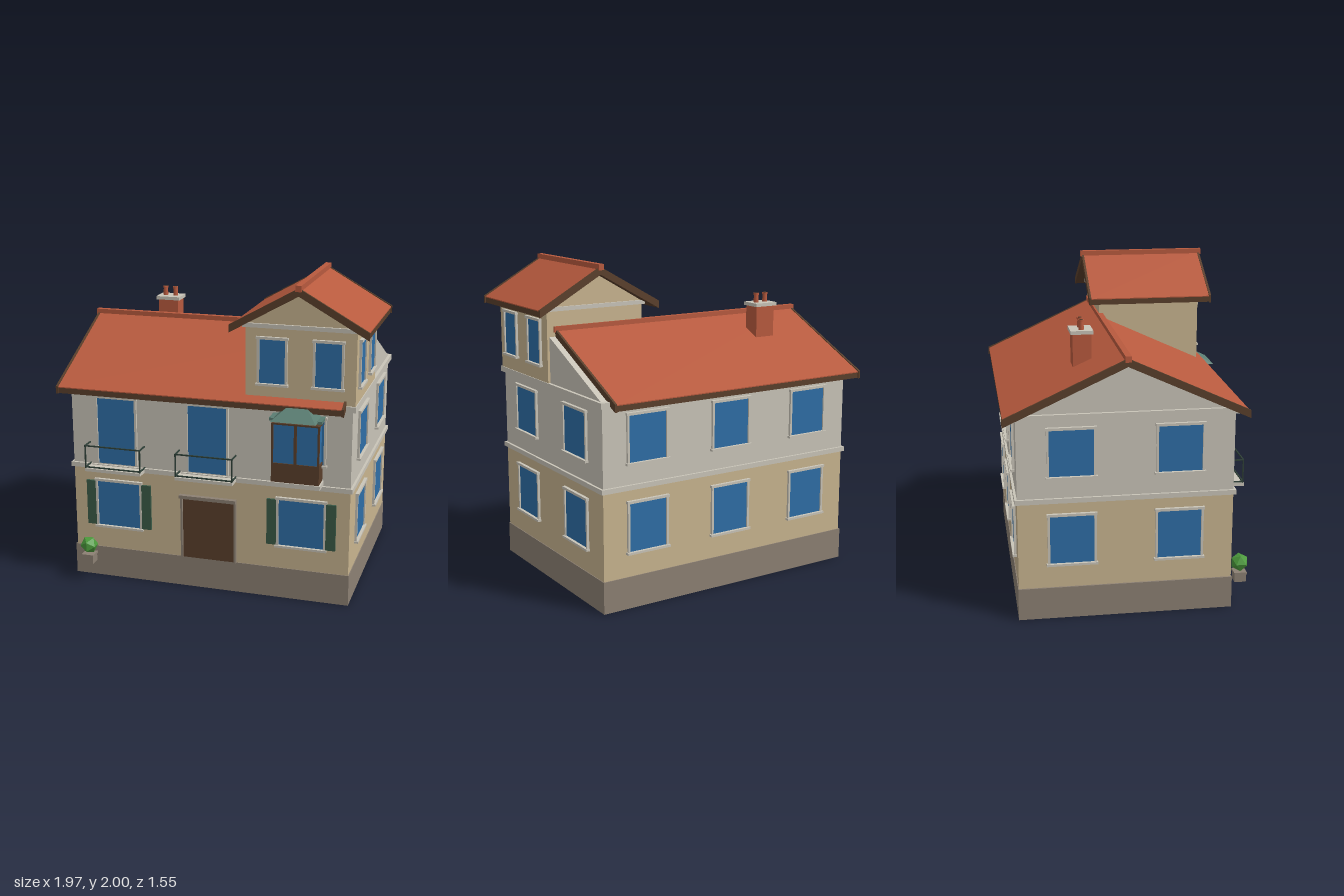
import * as THREE from 'three';

const mat = (name, color, side = THREE.FrontSide) => {
  const m = new THREE.MeshStandardMaterial({ color, side });
  m.name = name;
  return m;
};

export function createModel() {
  const house = new THREE.Group();
  house.name = 'house';

  const tan = mat('tan wall', 0xc8b48f);
  const plaster = mat('pale plaster', 0xc9c4b8);
  const stone = mat('grey stone', 0x8c8073);
  const tile = mat('red tile', 0xb85a3e);
  const wood = mat('brown wood', 0x5a3f2b);
  const glass = mat('blue glass', 0x2e6ea6);
  const green = mat('dark green paint', 0x3a5a47);
  const iron = mat('dark iron', 0x2f4038);
  const copper = mat('green copper', 0x5a7d72);
  const leaf = mat('leaf green', 0x4c9a3c);
  leaf.flatShading = true;

  const add = (name, geo, m, parent = house) => {
    const mesh = new THREE.Mesh(geo, m);
    mesh.name = name;
    parent.add(mesh);
    return mesh;
  };
  // box given by its lower and upper limits
  const box = (name, m, x0, x1, y0, y1, z0, z1, parent = house) => {
    const mesh = add(name, new THREE.BoxGeometry(x1 - x0, y1 - y0, z1 - z0), m, parent);
    mesh.position.set((x0 + x1) / 2, (y0 + y1) / 2, (z0 + z1) / 2);
    return mesh;
  };
  const group = (name, parent = house) => {
    const g = new THREE.Group();
    g.name = name;
    parent.add(g);
    return g;
  };
  // prism along z from a closed outline
  const prism = (points, z0, z1) => {
    const shape = new THREE.Shape(points.map(([x, y]) => new THREE.Vector2(x, y)));
    return new THREE.ExtrudeGeometry(shape, { depth: z1 - z0, bevelEnabled: false }).translate(0, 0, z0);
  };
  // bent strip following both slopes of a roof
  const chevron = (half, eave, apex, up, down, z0, z1) => prism([
    [-half, eave - down], [0, apex - down], [half, eave - down],
    [half, eave + up], [0, apex + up], [-half, eave + up]], z0, z1);

  // walls and horizontal bands
  box('stone base', stone, -0.92, 0.89, 0, 0.2, -0.705, 0.605);
  box('ground floor', tan, -0.91, 0.885, 0.2, 0.74, -0.7, 0.6);
  box('floor band', plaster, -0.925, 0.9, 0.74, 0.77, -0.715, 0.615);
  box('upper floor', plaster, -0.91, 0.885, 0.77, 1.25, -0.7, 0.6);
  box('main cornice', plaster, -0.93, 0.905, 1.25, 1.285, -0.725, 0.62);

  // roof in its own frame: the ridge runs along local z
  const roof = (name, half, eave, apex, z0, z1) => {
    const g = group(name);
    add('roof boards', chevron(half - 0.002, eave, apex, 0, 0.035, z0 + 0.005, z1 - 0.005), wood, g);
    add('roof tiles', chevron(half, eave, apex, 0.006, 0, z0 + 0.014, z1 - 0.014), tile, g);
    for (const z of [z0, z1 - 0.014])
      add('bargeboard', chevron(half + 0.005, eave, apex, 0.01, 0.038, z, z + 0.014), wood, g);
    box('ridge cap', tile, -0.018, 0.018, apex - 0.01, apex + 0.027, z0 - 0.01, z1 + 0.01, g);
    return g;
  };

  // main roof with gable walls, ridge along x
  const mainRoof = roof('main roof', 0.722, 1.272, 1.605, -0.982, 0.845);
  add('main gable', prism([[-0.645, 1.28], [0.645, 1.28], [0, 1.572]], -0.91, 0.885), plaster, mainRoof);
  mainRoof.rotation.y = Math.PI / 2;
  mainRoof.position.z = -0.053;

  // tower with its own gabled roof
  box('tower wall', tan, 0.23, 0.9, 1.285, 1.725, -0.06, 0.607);
  box('tower cornice', plaster, 0.213, 0.917, 1.725, 1.75, -0.075, 0.622);
  const towerRoof = roof('tower roof', 0.412, 1.738, 1.973, -0.135, 0.682);
  add('tower gable', prism([[-0.335, 1.745], [0.335, 1.745], [0, 1.94]], -0.06, 0.607), tan, towerRoof);
  towerRoof.position.x = 0.565;

  // window: pane, surround and optional sill, facing local +z
  const windowAt = (x, y, z, turn, w, h, sill = true) => {
    const g = group('window');
    const a = w / 2, b = h / 2, t = 0.014;
    box('pane', glass, -a, a, -b, b, 0, 0.006, g);
    for (const s of [-1, 1]) {
      const c = s * (a + t / 2);
      box('window jamb', plaster, c - t / 2, c + t / 2, -b, b, 0, 0.015, g);
    }
    box('window head', plaster, -a - t - 0.005, a + t + 0.005, b, b + 0.016, 0, 0.02, g);
    if (sill) box('window sill', plaster, -a - t - 0.008, a + t + 0.008, -b - 0.014, -b, 0, 0.025, g);
    g.position.set(x, y, z);
    g.rotation.y = turn;
  };

  const Q = Math.PI / 2;
  const columns = [-0.61, -0.013, 0.585];
  for (const [y, h] of [[0.507, 0.3], [1.047, 0.285]]) {
    for (const z of [0.272, -0.377]) {
      windowAt(0.885, y, z, Q, 0.265, h);
      windowAt(-0.91, y, z, -Q, 0.265, h);
    }
    for (const x of columns) windowAt(x, y, -0.7, Math.PI, 0.255, h);
  }
  windowAt(0.585, 1.047, 0.6, 0, 0.265, 0.285);
  for (const x of [0.395, 0.735]) windowAt(x, 1.523, 0.607, 0, 0.157, 0.268);
  for (const z of [0.445, 0.108]) windowAt(0.9, 1.523, z, Q, 0.157, 0.268);

  // shuttered ground floor windows
  for (const x of [-0.608, 0.585]) {
    windowAt(x, 0.507, 0.6, 0, 0.283, 0.3);
    for (const s of [-1, 1]) {
      const c = x + s * 0.186;
      box('shutter', green, c - 0.031, c + 0.031, 0.357, 0.655, 0.6, 0.614);
    }
  }

  // tall balcony windows with iron railings
  for (const x of [-0.612, -0.014]) {
    windowAt(x, 0.994, 0.6, 0, 0.247, 0.432, false);
    const g = group('balcony');
    g.position.x = x;
    const a = 0.186, r = 0.008;
    box('balcony slab', plaster, -a, a, 0.745, 0.765, 0.6, 0.695, g);
    for (const y of [0.768, 0.908]) {
      box('front rail', iron, -a, a, y, y + r, 0.682, 0.69, g);
      for (const s of [-a, a - r]) box('side rail', iron, s, s + r, y, y + r, 0.6, 0.69, g);
    }
    for (const s of [-a, a - r]) box('rail post', iron, s, s + r, 0.765, 0.916, 0.682, 0.69, g);
  }

  // front door and surround
  box('front door', wood, -0.177, 0.16, 0.2, 0.6, 0.6, 0.608);
  for (const x of [-0.19, 0.16]) box('door jamb', stone, x, x + 0.013, 0.2, 0.6, 0.6, 0.622);
  box('door lintel', stone, -0.197, 0.172, 0.6, 0.622, 0.6, 0.63);

  // glazed bay under a hipped copper roof
  const bay = group('bay window');
  bay.position.x = 0.563;
  box('bay floor', plaster, -0.156, 0.156, 0.778, 0.805, 0.6, 0.71, bay);
  box('bay panel', wood, -0.147, 0.147, 0.805, 0.925, 0.6, 0.702, bay);
  box('bay glass', glass, -0.14, 0.14, 0.925, 1.165, 0.6, 0.695, bay);
  for (const x of [-0.147, -0.009, 0.135])
    box('bay post', wood, x, x + (x === -0.009 ? 0.018 : 0.012), 0.925, 1.165, 0.69, 0.702, bay);
  box('bay head', wood, -0.147, 0.147, 1.165, 1.175, 0.6, 0.702, bay);
  box('bay eave', copper, -0.16, 0.16, 1.19, 1.208, 0.6, 0.71, bay);
  const hip = new THREE.BoxGeometry(1, 1, 1);
  const p = hip.attributes.position;
  for (let i = 0; i < p.count; i++) {
    const top = p.getY(i) > 0;
    const front = p.getZ(i) > 0;
    p.setXYZ(i, Math.sign(p.getX(i)) * (top ? 0.06 : 0.137), top ? 1.268 : 1.203,
      front ? (top ? 0.66 : 0.775) : 0.6);
  }
  const hipFlat = hip.toNonIndexed();
  hipFlat.computeVertexNormals();
  add('bay roof', hipFlat, copper, bay);

  // chimney with two pots
  const chimney = group('chimney');
  box('chimney stack', tile, -0.615, -0.477, 1.4, 1.685, -0.33, -0.218, chimney);
  box('chimney cap', plaster, -0.628, -0.465, 1.683, 1.705, -0.343, -0.207, chimney);
  for (const x of [-0.583, -0.513]) {
    const put = (name, r0, r1, h, y, m) => add(name, new THREE.CylinderGeometry(r0, r1, h, 12), m, chimney)
      .position.set(x, y, -0.275);
    put('chimney pot', 0.014, 0.017, 0.055, 1.732, tile);
    put('pot rim', 0.018, 0.018, 0.012, 1.759, tile);
    put('pot opening', 0.011, 0.011, 0.002, 1.766, wood);
  }

  // clipped bush in a square planter
  const planter = group('planter');
  planter.position.set(-0.793, 0, 0.683);
  box('planter rim', stone, -0.04, 0.04, 0.168, 0.182, -0.04, 0.04, planter);
  box('planter body', stone, -0.036, 0.036, 0.118, 0.168, -0.036, 0.036, planter);
  add('bush', new THREE.IcosahedronGeometry(0.058, 0), leaf, planter).position.y = 0.238;

  return house;
}
